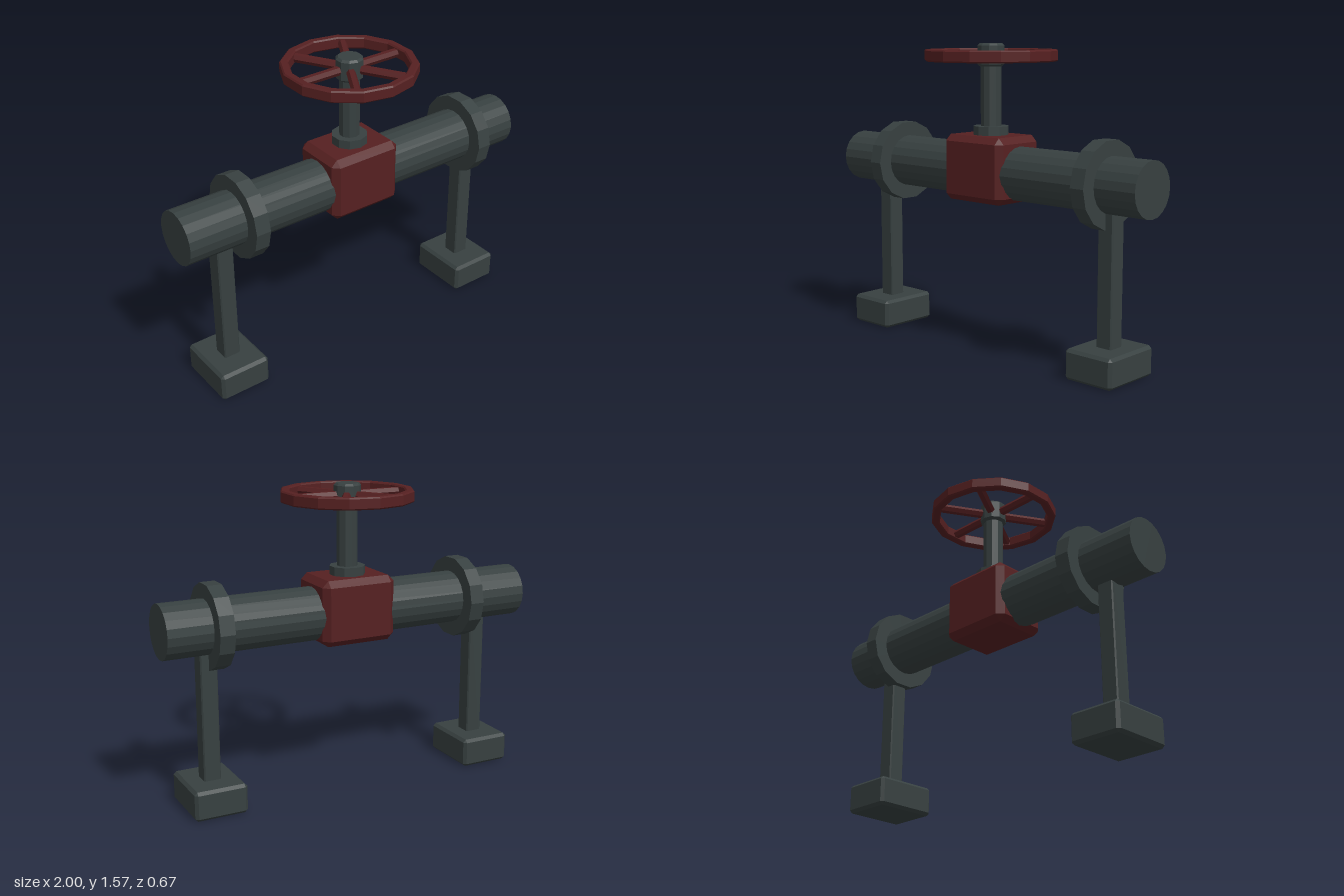
import * as THREE from 'three';
import { ConvexGeometry } from 'three/addons/geometries/ConvexGeometry.js';

const iron = new THREE.MeshStandardMaterial({ color: 0x374040, flatShading: true });
iron.name = 'dark iron';
const red = new THREE.MeshStandardMaterial({ color: 0x562021, flatShading: true });
red.name = 'dark red paint';

// Box with chamfered edges, as the hull of three points at each corner
function chamferBox(w, h, d, c) {
  const points = [];
  for (const x of [-1, 1]) for (const y of [-1, 1]) for (const z of [-1, 1]) {
    const [a, b, e] = [w / 2, h / 2, d / 2];
    points.push(
      new THREE.Vector3(x * a, y * (b - c), z * (e - c)),
      new THREE.Vector3(x * (a - c), y * b, z * (e - c)),
      new THREE.Vector3(x * (a - c), y * (b - c), z * e)
    );
  }
  return new ConvexGeometry(points);
}

export function createModel() {
  const model = new THREE.Group();
  model.name = 'pipeValve';

  const add = (name, geometry, material, x, y, z, parent = model) => {
    const mesh = new THREE.Mesh(geometry, material);
    mesh.name = name;
    mesh.position.set(x, y, z);
    parent.add(mesh);
    return mesh;
  };

  // Horizontal pipe and its two flanges
  const pipeY = 0.927;
  const pipe = new THREE.CylinderGeometry(0.137, 0.137, 2, 20).rotateZ(Math.PI / 2);
  add('pipe', pipe, iron, 0, pipeY, 0);
  const flange = new THREE.CylinderGeometry(0.214, 0.214, 0.077, 14).rotateZ(Math.PI / 2);
  add('rightFlange', flange, iron, -0.655, pipeY, 0);
  add('leftFlange', flange, iron, 0.732, pipeY, 0);

  // Support legs with block feet
  for (const [side, s] of [['left', 1], ['right', -1]]) {
    add(side + 'Leg', chamferBox(0.088, 0.76, 0.088, 0.006), iron, s * 0.77, 0.5, 0);
    add(side + 'Foot', chamferBox(0.274, 0.152, 0.336, 0.015), iron, s * 0.77, 0.079, 0);
  }
  model.children.filter(m => m.name.endsWith('Foot')).forEach(m => { m.position.y = 0.076; });

  // Valve body
  add('valveBody', chamferBox(0.4, 0.335, 0.308, 0.032), red, 0, 0.943, 0);

  // Stem, collar and chamfered hub
  add('stemCollar', new THREE.CylinderGeometry(0.091, 0.091, 0.06, 10), iron, 0, 1.125, 0);
  add('stem', new THREE.CylinderGeometry(0.053, 0.053, 0.4, 10), iron, 0, 1.3, 0);
  const hubProfile = [[0, 1.455], [0.058, 1.455], [0.069, 1.466], [0.069, 1.559], [0.058, 1.57], [0, 1.57]]
    .map(([r, y]) => new THREE.Vector2(r, y));
  add('wheelHub', new THREE.LatheGeometry(hubProfile, 10), iron, 0, 0, 0);

  // Handwheel: chamfered 14-sided rim with six spokes
  const wheel = new THREE.Group();
  wheel.name = 'handwheel';
  wheel.position.y = 1.51;
  model.add(wheel);
  const rimProfile = [
    [0.3, -0.03], [0.33, -0.03], [0.337, -0.023], [0.337, 0.023], [0.33, 0.03],
    [0.3, 0.03], [0.293, 0.023], [0.293, -0.023], [0.3, -0.03]
  ].map(([r, y]) => new THREE.Vector2(r, y));
  add('wheelRim', new THREE.LatheGeometry(rimProfile, 14), red, 0, 0, 0, wheel);
  const spoke = new THREE.CylinderGeometry(0.023, 0.023, 0.26, 6)
    .rotateZ(Math.PI / 2).translate(0.175, 0, 0);
  for (let i = 0; i < 6; i++) {
    add('wheelSpoke', spoke, red, 0, 0, 0, wheel).rotation.y = i * Math.PI / 3;
  }

  return model;
}
